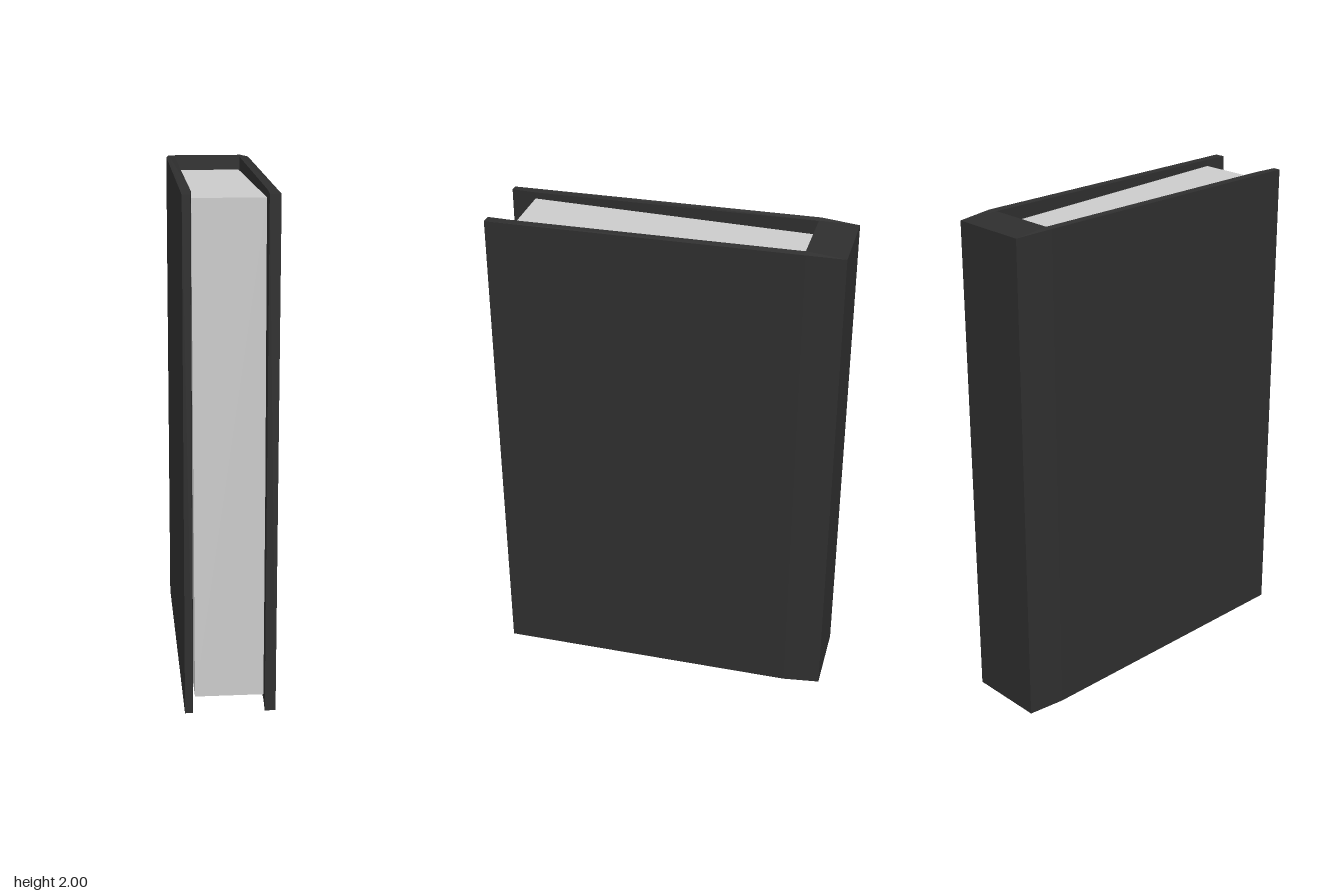
import * as THREE from 'three';

export function createModel() {
  const book = new THREE.Group();
  book.name = 'book';
  const coverMaterial = new THREE.MeshStandardMaterial({ color: 0x2e2e2e, flatShading: true });
  const pageMaterial = new THREE.MeshStandardMaterial({ color: 0xcccccc, flatShading: true });

  // Cover: two boards joined by a tapered spine, as one U-shaped plan [x, z]
  const plan = [
    [-0.178, 0.69], [-0.148, 0.69], [-0.14, 0.59], [-0.142, -0.535],
    [0.137, -0.535], [0.137, 0.59], [0.132, 0.69], [0.174, 0.69],
    [0.174, -0.54], [0.155, -0.69], [-0.16, -0.69], [-0.178, -0.54],
  ];
  const shape = new THREE.Shape(plan.map(([x, z]) => new THREE.Vector2(x, -z)));
  const coverGeometry = new THREE.ExtrudeGeometry(shape, { depth: 2, bevelEnabled: false });
  coverGeometry.rotateX(-Math.PI / 2);
  // The spine's top edge dips slightly at the back
  const c = coverGeometry.attributes.position;
  for (let i = 0; i < c.count; i++) {
    if (c.getZ(i) < -0.6 && c.getY(i) > 1) c.setY(i, 1.992);
  }
  coverGeometry.computeVertexNormals();
  const cover = new THREE.Mesh(coverGeometry, coverMaterial);
  cover.name = 'cover';
  book.add(cover);

  // Page block: sits back from the boards, its top sloping down to the spine
  const pageGeometry = new THREE.BoxGeometry(0.274, 1.955, 1.13);
  pageGeometry.translate(0, 0.9975, 0.027);
  const p = pageGeometry.attributes.position;
  for (let i = 0; i < p.count; i++) {
    if (p.getY(i) > 1 && p.getZ(i) < 0) p.setY(i, 1.945);
    if (p.getX(i) > 0) p.setX(i, p.getY(i) > 1 ? 0.133 : 0.14);
    else p.setX(i, p.getY(i) > 1 ? -0.139 : -0.133);
  }
  pageGeometry.computeVertexNormals();
  const pages = new THREE.Mesh(pageGeometry, pageMaterial);
  pages.name = 'pages';
  book.add(pages);

  return book;
}
